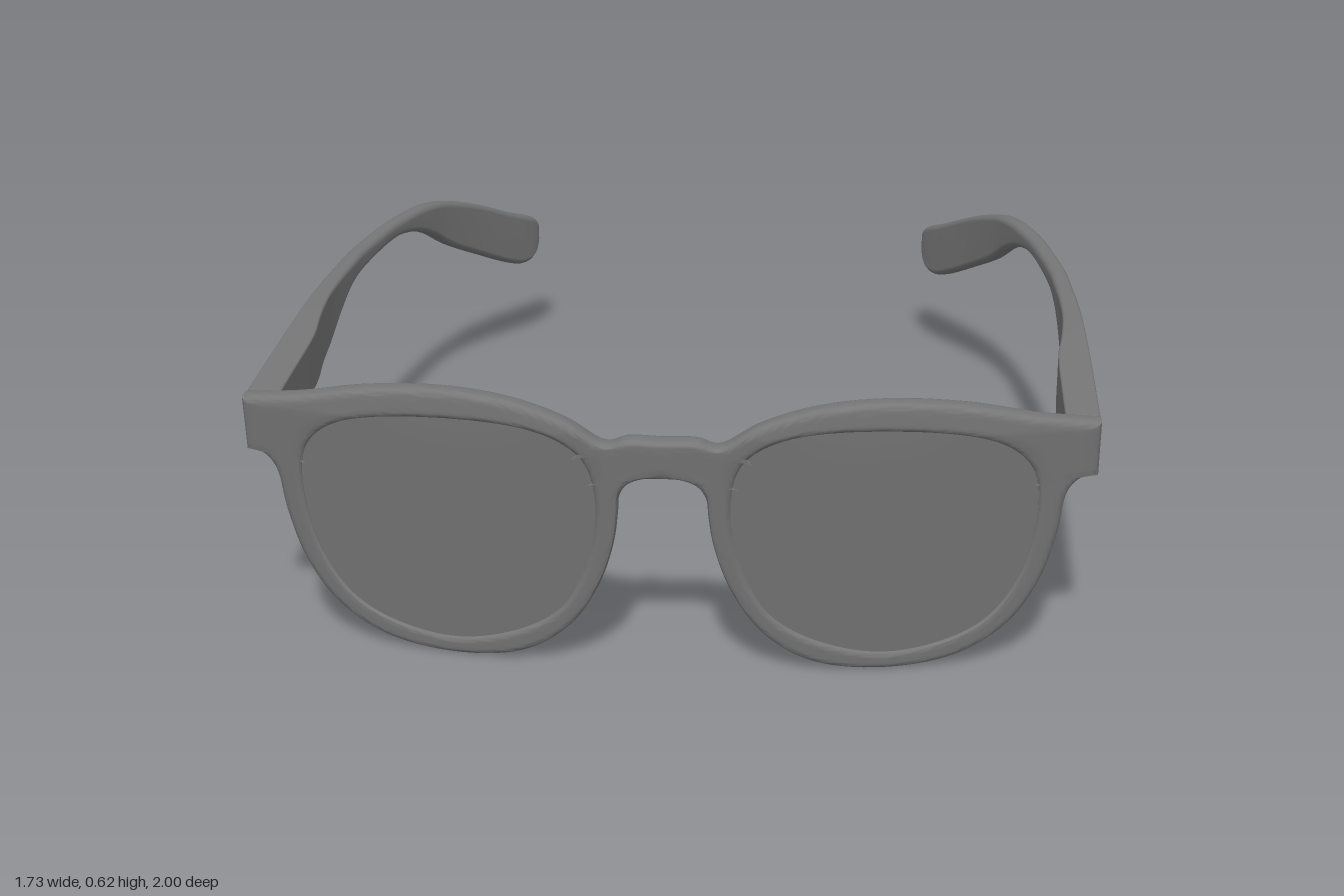
import * as THREE from 'three';
import { mergeGeometries, toCreasedNormals } from 'three/addons/utils/BufferGeometryUtils.js';

const THICK = 0.048, BEVEL = 0.012;

// Front surface of the glasses: wraps back at the sides, rakes back at the bottom
const surfaceZ = (x, y) => 1 - 0.165 * x * x - 0.15 * Math.max(0, 0.55 - y);

// Smooth 2D curve through a few points
function smooth(points, n, closed = false) {
  const curve = new THREE.CatmullRomCurve3(points.map(([x, y]) => new THREE.Vector3(x, y, 0)), closed);
  const result = curve.getPoints(n).map(p => new THREE.Vector2(p.x, p.y));
  if (closed) result.pop();
  return result;
}

// Points strictly between two heights on a vertical line
const upright = (x, y0, y1) => [1, 2, 3, 4, 5].map(i => new THREE.Vector2(x, y0 + (y1 - y0) * i / 6));

// Skin over cross-sections ordered front to back, each counter-clockwise from the front
function loft(rings) {
  const n = rings[0].length, pos = [], index = [];
  rings.forEach(ring => ring.forEach(p => pos.push(p.x, p.y, p.z)));
  for (let i = 0; i < rings.length - 1; i++) {
    for (let j = 0; j < n; j++) {
      const a = i * n + j, b = i * n + (j + 1) % n, c = a + n, d = b + n;
      index.push(a, c, b, b, c, d);
    }
  }
  const geo = new THREE.BufferGeometry();
  geo.setAttribute('position', new THREE.Float32BufferAttribute(pos, 3));
  geo.setIndex(index);
  return geo;
}

function mirrored(geo) {
  const copy = geo.clone().scale(-1, 1, 1), idx = copy.index.array;
  for (let i = 0; i < idx.length; i += 3) [idx[i + 1], idx[i + 2]] = [idx[i + 2], idx[i + 1]];
  return copy;
}

// Lens opening, counter-clockwise
const lensCentre = new THREE.Vector2(0.445, 0.4);
const lensOutline = smooth([
  [0.155, 0.26], [0.216, 0.135], [0.33, 0.065], [0.47, 0.043], [0.635, 0.1], [0.715, 0.21],
  [0.747, 0.375], [0.73, 0.47], [0.66, 0.53], [0.457, 0.563], [0.24, 0.545], [0.16, 0.49], [0.137, 0.4],
], 130, true);

// Where the ray from the lens centre towards p meets the lens opening
function openingToward(p) {
  const dir = p.clone().sub(lensCentre);
  for (let i = 0; i < lensOutline.length; i++) {
    const a = lensOutline[i], b = lensOutline[(i + 1) % lensOutline.length];
    const ca = dir.cross(a.clone().sub(lensCentre)), cb = dir.cross(b.clone().sub(lensCentre));
    if (ca <= 0 && cb > 0) return a.clone().lerp(b, ca / (ca - cb));
  }
}

// Unit normals on the left of a counter-clockwise loop (its inside)
function inwardNormals(loop) {
  return loop.map((_, i) => {
    const t = loop[(i + 1) % loop.length].clone().sub(loop.at(i - 1));
    return new THREE.Vector2(-t.y, t.x).normalize();
  });
}

// One half of the front: rim, half bridge and hinge tab, meeting the other half at x = 0
function halfFrame() {
  const top = smooth([[0.865, 0.56], [0.74, 0.58], [0.6, 0.61], [0.44, 0.623], [0.3, 0.609],
    [0.19, 0.573], [0.11, 0.527], [0.07, 0.54], [0, 0.54]], 64);
  const bottom = smooth([[0, 0.455], [0.04, 0.452], [0.07, 0.437], [0.085, 0.41], [0.088, 0.37],
    [0.097, 0.3], [0.13, 0.2], [0.2, 0.09], [0.3, 0.022], [0.45, 0.002], [0.6, 0.03], [0.7, 0.1],
    [0.76, 0.2], [0.79, 0.31], [0.805, 0.405], [0.83, 0.435], [0.865, 0.44]], 112);
  const outer = [...bottom, ...upright(0.865, 0.44, 0.56), ...top, ...upright(0, 0.54, 0.455)];
  const inner = outer.map(openingToward);
  const innerNormals = inwardNormals(inner).map(n => n.negate());
  const outerNormals = inwardNormals(outer).map((n, i) => {
    const p = outer[i];
    if (p.x > 1e-6) return n;
    return new THREE.Vector2(0, p.y > 0.5399 ? -1 : p.y < 0.4551 ? 1 : 0);
  });
  // Rim profile: [fraction from opening to outline, inset, depth]
  const round = [0, 1, 2, 3].map(k => k * Math.PI / 6)
    .map(a => [BEVEL * (1 - Math.cos(a)), BEVEL * (1 - Math.sin(a))]);
  const front = [
    ...round.map(r => [0, ...r]),
    ...[0.2, 0.4, 0.6, 0.8].map(t => [t, BEVEL, 0]),
    ...round.reverse().map(r => [1, ...r]),
  ];
  const back = front.map(([t, inset, d]) => [t, inset, THICK - d]).reverse();
  return loft([...front, ...back, front[0]].map(([t, inset, depth]) => outer.map((o, i) => {
    const from = inner[i].clone().addScaledVector(innerNormals[i], inset);
    const to = o.clone().addScaledVector(outerNormals[i], inset);
    const { x, y } = from.lerp(to, t);
    // The back swells into a nose pad
    const near = Math.exp(-(((x - 0.12) / 0.08) ** 2) - ((y - 0.31) / 0.12) ** 2);
    const pad = 0.05 * near * depth / THICK;
    return new THREE.Vector3(x + 0.35 * pad * Math.min(1, x / 0.08), y, surfaceZ(x, y) - depth - pad);
  })));
}

// Thin curved lens following the frame's bend: [scale, depth] from front centre to back centre
function lensGeometry() {
  const scales = [0, 0.25, 0.5, 0.75, 1.005];
  const steps = [...scales.map(s => [s, 0.008]), ...scales.map(s => [s, 0.034]).reverse()];
  return loft(steps.map(([s, depth]) => lensOutline.map(p => {
    const { x, y } = lensCentre.clone().lerp(p, s);
    return new THREE.Vector3(x, y, surfaceZ(x, y) - depth);
  })));
}

// Temple arm swept through stations: z, outer x, thickness, top, bottom
function templeGeometry() {
  const stations = [
    [0.845, 0.865, 0.07, 0.557, 0.44], [0.7, 0.865, 0.07, 0.557, 0.44], [0.5, 0.865, 0.068, 0.556, 0.44],
    [0.37, 0.864, 0.054, 0.556, 0.44], [0.25, 0.862, 0.044, 0.555, 0.442], [0.14, 0.858, 0.041, 0.554, 0.47],
    [0.03, 0.851, 0.04, 0.553, 0.499], [-0.1, 0.84, 0.04, 0.552, 0.507], [-0.29, 0.81, 0.04, 0.547, 0.508],
    [-0.4, 0.785, 0.04, 0.542, 0.493], [-0.5, 0.757, 0.04, 0.533, 0.456], [-0.61, 0.722, 0.04, 0.508, 0.39],
    [-0.745, 0.668, 0.04, 0.458, 0.32], [-0.88, 0.607, 0.042, 0.395, 0.252], [-0.94, 0.579, 0.042, 0.37, 0.236],
    [-0.975, 0.562, 0.04, 0.353, 0.247], [-0.993, 0.553, 0.036, 0.337, 0.27], [-1, 0.549, 0.03, 0.32, 0.293],
  ];
  const path = pts => new THREE.CatmullRomCurve3(pts, false, 'catmullrom', 0.5);
  const outer = path(stations.map(([z, x, , t]) => new THREE.Vector3(x, t, z)));
  const inner = path(stations.map(([z, x, w, , b]) => new THREE.Vector3(x - w, b, z)));
  const rings = [], N = 85;
  for (let i = 0; i <= N; i++) {
    const o = outer.getPoint(i / N), n = inner.getPoint(i / N), tangent = outer.getTangent(i / N);
    const hw = (o.x - n.x) / 2, hh = (o.y - n.y) / 2, cx = n.x + hw, cy = n.y + hh;
    // Sections stay square to the arm as it curves inward
    const lean = Math.min(0.55, tangent.x / tangent.z);
    const at = (x, y) => new THREE.Vector3(x, y, o.z + (o.x - x) * lean);
    // Crisp edges near the hinge, rounder toward the tip
    const r = Math.min(hw, hh) * THREE.MathUtils.lerp(0.12, 0.75, THREE.MathUtils.smoothstep(i / N, 0.1, 0.5));
    const ring = [];
    [[1, 1], [-1, 1], [-1, -1], [1, -1]].forEach(([sx, sy], q) => {
      for (let k = 0; k <= 4; k++) {
        const a = (q + k / 4) * Math.PI / 2;
        ring.push(at(cx + sx * (hw - r) + r * Math.cos(a), cy + sy * (hh - r) + r * Math.sin(a)));
      }
    });
    const centre = ring.map(() => at(cx, cy));
    if (i === 0) rings.push(centre);
    rings.push(ring);
    if (i === N) rings.push(centre);
  }
  const geo = loft(rings);
  geo.computeVertexNormals();
  return geo;
}

export function createModel() {
  const group = new THREE.Group();
  const material = new THREE.MeshStandardMaterial({ color: 0x777777 });
  const add = (name, geo) => {
    const mesh = new THREE.Mesh(geo, material);
    mesh.name = name;
    group.add(mesh);
  };
  const half = halfFrame(), lens = lensGeometry(), temple = templeGeometry();
  add('frontFrame', toCreasedNormals(mergeGeometries([half, mirrored(half)]), 0.6));
  add('leftLens', toCreasedNormals(lens, 0.6));
  add('rightLens', toCreasedNormals(mirrored(lens), 0.6));
  add('leftTemple', temple);
  add('rightTemple', mirrored(temple));
  return group;
}
